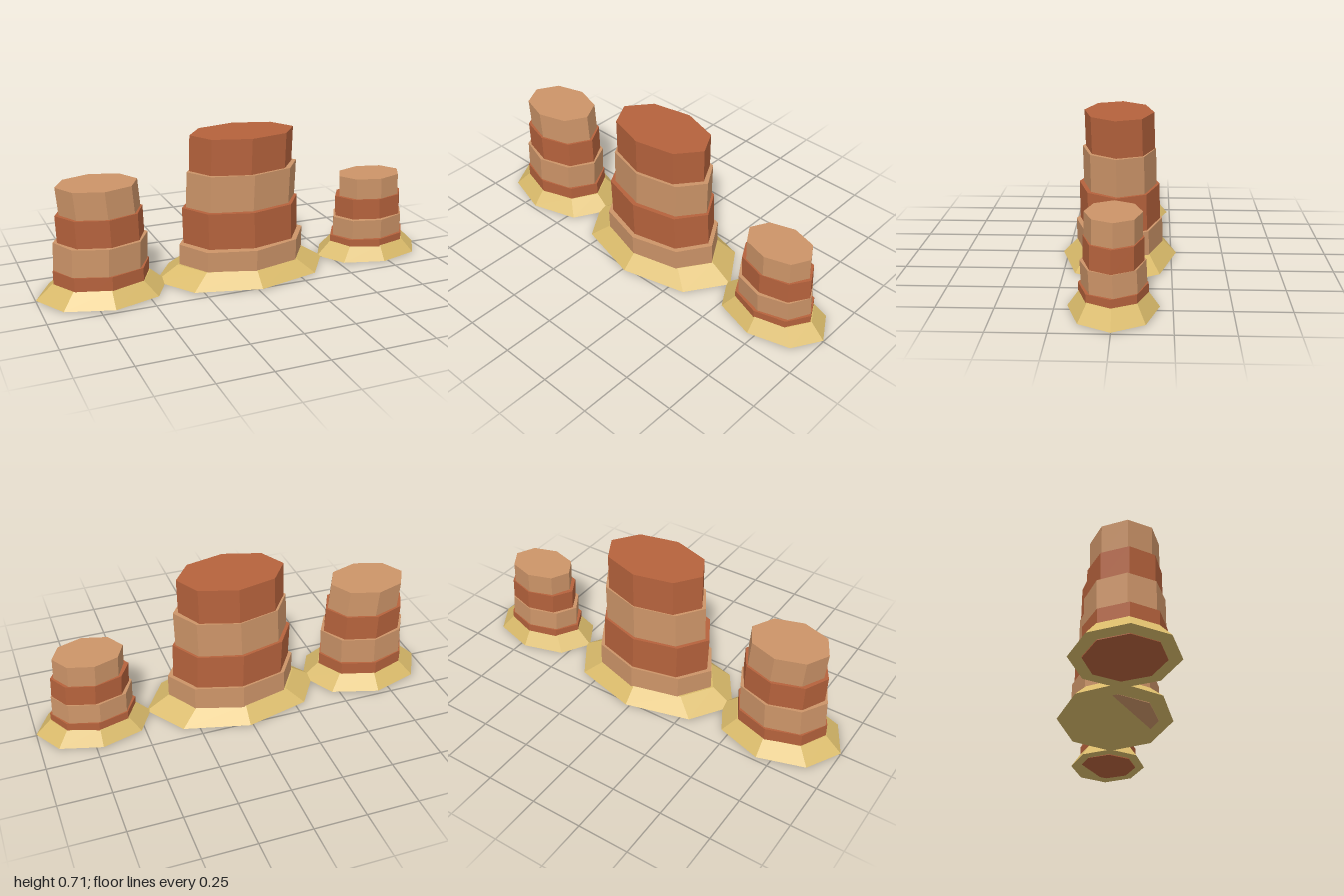
import * as THREE from 'three';

const makeMaterial = (name, color) => {
  const m = new THREE.MeshStandardMaterial({ color });
  m.name = name;
  return m;
};

// Eight-sided oval drum with faceted normals; lean shifts the top, tilt slopes the layer
function drum({ y0, y1, rx, rz, top = 1, yaw = 0, lean = [0, 0], tilt = [0, 0] }) {
  const h = y1 - y0;
  const g = new THREE.CylinderGeometry(top, 1, h, 8, 1, false, yaw).toNonIndexed();
  g.scale(rx, 1, rz);
  const p = g.attributes.position;
  for (let i = 0; i < p.count; i++) {
    const x = p.getX(i), y = p.getY(i), z = p.getZ(i);
    const t = y / h;
    p.setXYZ(i, x + lean[0] * t, y + (y0 + y1) / 2 + tilt[0] * x + tilt[1] * z, z + lean[1] * t);
  }
  g.computeVertexNormals();
  return g;
}

export function createModel() {
  const rust = makeMaterial('rust rock', 0xb5623c);
  const tan = makeMaterial('tan rock', 0xcc9468);
  const sand = makeMaterial('sand', 0xd9ba6a);

  // Each layer: y0, y1, rx, rz, x shift, yaw, lean [x, z], tilt [x, z]
  const pillars = [
    {
      name: 'middlePillar', x: 0.016, skirt: [0.442, 0.275], colors: [tan, rust],
      layers: [
        [0.011, 0.183, 0.322, 0.208, 0.004, -0.02, [0, 0.005], [0.012, -0.024]],
        [0.183, 0.361, 0.298, 0.193, 0.0, -0.03, [-0.005, 0.003], [-0.004, 0.01]],
        [0.361, 0.537, 0.281, 0.175, 0.004, -0.03, [0.005, 0.004], [0.004, 0.02]],
        [0.537, 0.711, 0.261, 0.166, 0.003, -0.06, [0.003, 0.005], [-0.004, 0.016]],
      ],
    },
    {
      name: 'rightPillar', x: -0.685, skirt: [0.315, 0.236], colors: [rust, tan],
      layers: [
        [0.004, 0.142, 0.23, 0.176, 0, 0.02, [0, 0], [-0.006, 0.008]],
        [0.142, 0.276, 0.223, 0.169, 0, -0.03, [0.005, 0], [-0.008, -0.01]],
        [0.276, 0.406, 0.207, 0.158, 0.003, 0.03, [-0.004, 0], [-0.008, 0.01]],
        [0.406, 0.538, 0.191, 0.147, 0, 0, [-0.011, 0], [-0.005, 0.006]],
      ],
    },
    {
      name: 'leftPillar', x: 0.719, skirt: [0.281, 0.195], colors: [rust, tan],
      layers: [
        [0.006, 0.113, 0.206, 0.148, -0.002, -0.02, [0, 0.002], [0.008, -0.016]],
        [0.113, 0.212, 0.195, 0.139, -0.002, 0.03, [-0.003, 0.005], [0.006, -0.012]],
        [0.212, 0.316, 0.185, 0.128, 0, -0.02, [-0.005, 0], [-0.008, 0.01]],
        [0.316, 0.421, 0.167, 0.122, 0, 0.03, [-0.003, 0], [0, 0.01]],
      ],
    },
  ];

  const model = new THREE.Group();
  model.name = 'rockPillars';
  for (const { name, x, skirt, colors, layers } of pillars) {
    const group = new THREE.Group();
    group.name = name;
    group.position.x = x;

    // Sloping sand around the foot
    const foot = new THREE.Mesh(
      drum({ y0: 0.008, y1: 0.078, rx: skirt[0], rz: skirt[1], top: 0.745 }), sand);
    foot.name = 'sandSkirt';
    group.add(foot);

    // Stacked rock layers in alternating colours
    layers.forEach(([y0, y1, rx, rz, dx, yaw, lean, tilt], i) => {
      const layer = new THREE.Mesh(drum({ y0, y1, rx, rz, yaw, lean, tilt }), colors[i % 2]);
      layer.name = `rockLayer${i + 1}`;
      layer.position.x = dx;
      group.add(layer);
    });
    model.add(group);
  }
  return model;
}
